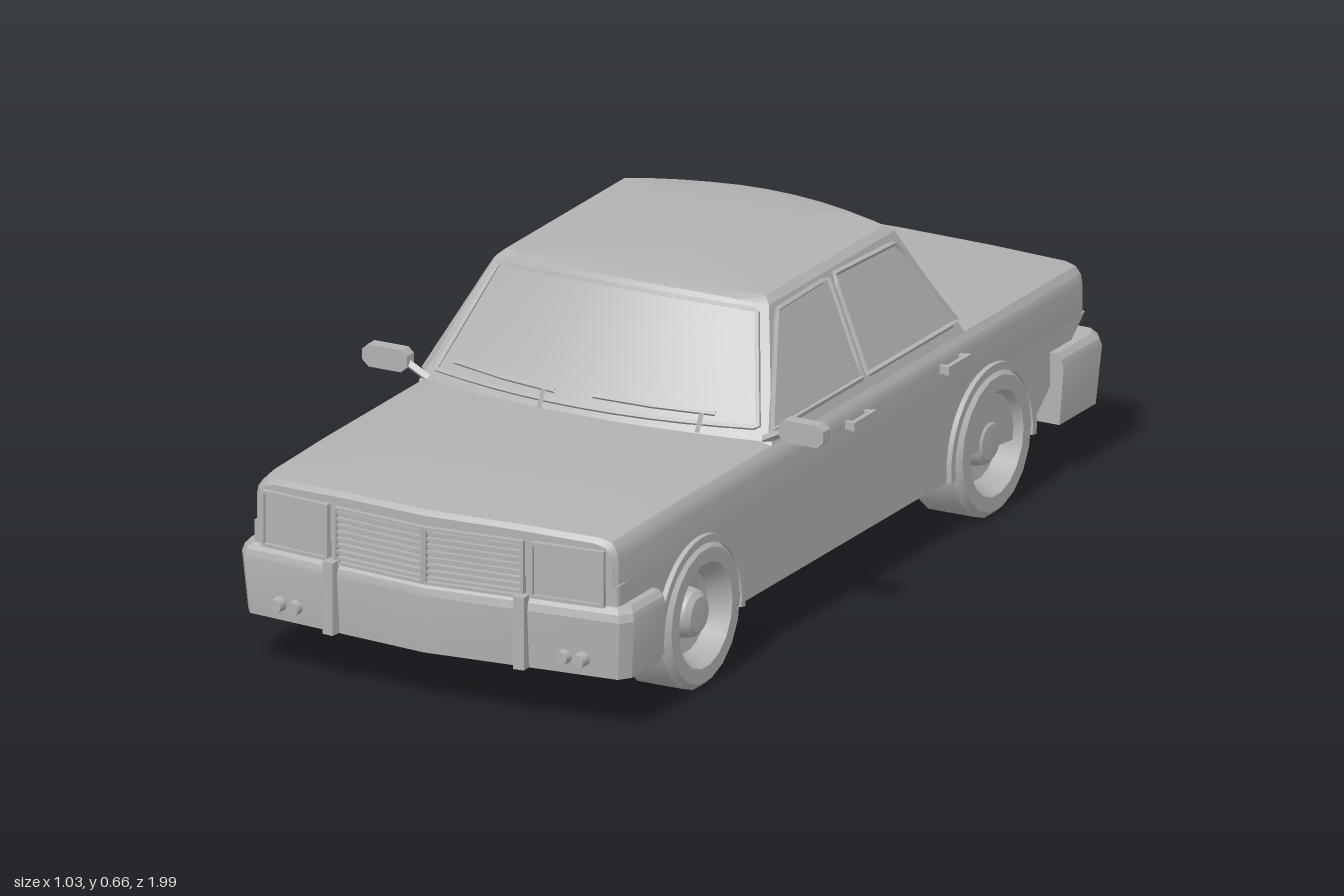
import * as THREE from 'three';
import { toCreasedNormals } from 'three/addons/utils/BufferGeometryUtils.js';

const { lerp, clamp } = THREE.MathUtils;
const V = (x, y, z) => new THREE.Vector3(x, y, z);

export function createModel() {
  const car = new THREE.Group();
  car.name = 'sedan';
  const grey = new THREE.MeshStandardMaterial({ color: 0xb2b2b2, side: THREE.DoubleSide });
  grey.name = 'grey';

  const add = (name, geo, x = 0, y = 0, z = 0, ry = 0) => {
    const mesh = new THREE.Mesh(geo, grey);
    mesh.name = name;
    mesh.position.set(x, y, z);
    mesh.rotation.y = ry;
    car.add(mesh);
    return mesh;
  };
  const box = (name, w, h, d, ...place) => add(name, new THREE.BoxGeometry(w, h, d), ...place);

  // Skin over closed rings of points, with a fan cap around a centre at each end
  const loft = (rings, first, last, crease = 0.5) => {
    const n = rings[0].length, pts = [...rings.flat(), first, last], index = [];
    const f = pts.length - 2, top = (rings.length - 1) * n;
    for (let i = 0; i < n; i++) {
      const j = (i + 1) % n;
      for (let k = 0; k < top; k += n) index.push(k + i, k + j, k + n + j, k + i, k + n + j, k + n + i);
      index.push(f, j, i, f + 1, top + i, top + j);
    }
    const geo = new THREE.BufferGeometry().setFromPoints(pts);
    geo.setIndex(index);
    return toCreasedNormals(geo, crease);
  };

  // Square strip along a chain of straight segments
  const strip = (name, pts, r, closed = false) => {
    const path = new THREE.CurvePath();
    const all = closed ? [...pts, pts[0]] : pts;
    for (let i = 1; i < all.length; i++) path.add(new THREE.LineCurve3(all[i - 1], all[i]));
    return add(name, toCreasedNormals(new THREE.TubeGeometry(path, all.length * 8, r, 4, false), 0.6));
  };

  // Side outline (z, y) extruded between x0 and x1 on either side
  const sidePlate = (name, shape, x0, x1, s) =>
    add(name, toCreasedNormals(new THREE.ExtrudeGeometry(shape, { depth: x1 - x0, bevelEnabled: false, curveSegments: 20 }), 0.5),
      s > 0 ? x1 : -x0, 0, 0, -Math.PI / 2);

  // ---- Body: rounded upper shell, notched lower sides, core and nose ----
  const bow = (x, z) => z + 0.04 * (1 - Math.abs(x) / 0.41) * clamp((z - 0.68) / 0.25, 0, 1);
  const noseZ = x => bow(x, 0.937);
  const section = (half, z, inset = 0, drop = 0) => {
    const right = half.map(([x, y]) => [x * (1 - inset / 0.4), y - (y > 0.33 ? drop : 0)]);
    const left = right.slice(1, -1).reverse().map(([x, y]) => [-x, y]);
    return [...right, ...left].map(([x, y]) => V(x, y, bow(x, z)));
  };
  const upper = [[0, 0.3], [0.408, 0.3], [0.408, 0.365], [0.404, 0.385], [0.393, 0.399], [0.37, 0.406], [0.2, 0.411], [0, 0.413]];
  const stations = [[-0.945, 0.012, 0.012], [-0.938, 0.004, 0.004], [-0.92, 0, 0], [0.68, 0, 0],
    [0.88, 0, 0.004], [0.928, 0.004, 0.008], [0.937, 0.012, 0.018]];
  add('upperBody', loft(stations.map(s => section(upper, ...s)), V(0, 0.35, -0.945), V(0, 0.35, noseZ(0))));

  const lower = w => [[0, 0.12], [w, 0.12], [w, 0.305], [0, 0.305]];
  add('lowerCore', loft([-0.94, 0.86].map(z => section(lower(0.3), z)), V(0, 0.2, -0.94), V(0, 0.2, bow(0, 0.86))));
  add('lowerNose', loft([0.85, 0.934].map(z => section(lower(0.405), z)), V(0, 0.2, bow(0, 0.85)), V(0, 0.2, bow(0, 0.934))));

  const axles = [-0.555, 0.615], dip = 0.129;
  const sill = new THREE.Shape();
  sill.moveTo(-0.94, 0.12);
  axles.forEach(z => sill.absarc(z, 0.14, 0.156, Math.PI + dip, -dip, true));
  sill.lineTo(0.93, 0.12).lineTo(0.93, 0.305).lineTo(-0.94, 0.305);

  // ---- Cabin: horizontal rings with bowed front and rear edges ----
  const cabinRing = (w, y, crown, zf, bf, zb, bb) => {
    const ring = [];
    for (const s of [1, -1]) for (let i = 0; i <= 10; i++) {
      const u = s * (i / 5 - 1);
      ring.push(V(w * u, y + crown * (1 - u * u), s > 0 ? zf - bf * u * u : zb + bb * u * u));
    }
    return ring;
  };
  add('cabin', loft([
    cabinRing(0.395, 0.4, 0, 0.36, 0.065, -0.525, 0.045),
    cabinRing(0.305, 0.63, 0.022, 0.2, 0.055, -0.4, 0.04),
    cabinRing(0.29, 0.643, 0.015, 0.18, 0.05, -0.38, 0.035),
    cabinRing(0.18, 0.655, 0.006, 0.08, 0.02, -0.27, 0.02),
  ], V(0, 0.4, -0.1), V(0, 0.663, -0.1), 0.42));

  // Points on the windscreen (dir 1) or rear window (dir -1), lifted slightly
  const screen = (x, y, dir, lift) => {
    const k = clamp(x / 0.32, -1, 1);
    const v = (y - 0.4) / (0.23 + 0.022 * (1 - k * k));
    const u2 = (x / lerp(0.395, 0.305, v)) ** 2;
    const z = dir > 0 ? lerp(0.36 - 0.065 * u2, 0.2 - 0.055 * u2, v) : lerp(-0.525 + 0.045 * u2, -0.4 + 0.04 * u2, v);
    return V(x, y, z + dir * lift);
  };
  const pane = (u, t, dir, lift) => screen(u * lerp(0.36, 0.288, t), lerp(0.428, 0.622 + 0.017 * (1 - u * u), t), dir, lift);
  for (const [dir, name] of [[1, 'windscreen'], [-1, 'rearWindow']]) {
    const glass = new THREE.PlaneGeometry(2, 2, 10, 4), p = glass.attributes.position;
    for (let i = 0; i < p.count; i++) {
      const q = pane(p.getX(i) * dir, (p.getY(i) + 1) / 2, dir, 0.003);
      p.setXYZ(i, q.x, q.y, q.z);
    }
    glass.computeVertexNormals();
    add(name, glass);
    const edge = [];
    for (let i = 0; i <= 10; i++) edge.push(pane(i / 5 - 1, 0, dir, 0.002));
    for (let i = 10; i >= 0; i--) edge.push(pane(i / 5 - 1, 1, dir, 0.002));
    strip(name + 'Trim', edge, 0.006, true);
  }

  // Wipers
  for (const [a, b, pivot] of [[-0.315, -0.065, -0.09], [0.02, 0.275, 0.25]]) {
    strip('wiperBlade', [screen(a, 0.453, 1, 0.014), screen((a + b) / 2, 0.451, 1, 0.014), screen(b, 0.449, 1, 0.014)], 0.005);
    strip('wiperArm', [screen(pivot, 0.415, 1, 0.012), screen(pivot, 0.449, 1, 0.016)], 0.005);
  }

  // ---- Bumpers ----
  const bumper = (name, peak, corner, dir) => {
    const ring = (y, i) => [[-0.438, 0.8], [-0.438, corner - 0.025], [-0.42, corner], [0, peak],
      [0.42, corner], [0.438, corner - 0.025], [0.438, 0.8]]
      .map(([x, z]) => V(x * (1 - i / 0.43), y, z > 0.8 ? z - i : z));
    add(name, loft([ring(0.115, 0.009), ring(0.235, 0), ring(0.25, 0.004), ring(0.262, 0.014)],
      V(0, 0.115, 0.88), V(0, 0.262, 0.88), 0.35), 0, 0, 0, dir > 0 ? 0 : Math.PI);
  };
  bumper('frontBumper', 0.993, 0.952, 1);
  bumper('rearBumper', 0.985, 0.98, -1);

  // ---- Grille, lamps and other paired parts ----
  const tilt = 0.097;
  const frame = (w, h, t) => {
    const outline = (a, b, Kind) => new Kind().moveTo(-a, -b).lineTo(a, -b).lineTo(a, b).lineTo(-a, b);
    const shape = outline(w / 2, h / 2, THREE.Shape);
    shape.holes.push(outline(w / 2 - t, h / 2 - t, THREE.Path));
    return new THREE.ExtrudeGeometry(shape, { depth: 0.014, bevelEnabled: false });
  };

  // Wheel profile (radius, distance from the inner face)
  const profile = [[0, 0], [0.137, 0], [0.151, 0.014], [0.151, 0.111], [0.138, 0.125], [0.108, 0.125], [0.103, 0.117],
    [0.083, 0.082], [0.052, 0.078], [0.047, 0.102], [0.036, 0.112], [0, 0.114]].map(p => new THREE.Vector2(...p));
  const wheel = toCreasedNormals(new THREE.LatheGeometry(profile, 18), 0.45);

  const sideX = y => lerp(0.395, 0.305, (y - 0.4) / 0.23);
  const sideWindows = {
    frontSideWindow: [[0.285, 0.425], [0.13, 0.617], [-0.08, 0.62], [-0.08, 0.425]],
    rearSideWindow: [[-0.1, 0.425], [-0.1, 0.62], [-0.345, 0.612], [-0.465, 0.425]],
  };

  for (const s of [1, -1]) {
    sidePlate('lowerSide', sill, 0.29, 0.408, s);

    // Wheels and arches
    for (const z of axles) {
      add('wheel', wheel, s * 0.3, 0.151, z).rotation.z = -s * Math.PI / 2;
      const arch = new THREE.Shape();
      arch.absarc(z, 0.14, 0.172, -dip, Math.PI + dip, false);
      arch.absarc(z, 0.14, 0.156, Math.PI + dip, -dip, true);
      sidePlate('wheelArch', arch, 0.39, 0.419, s);
    }

    // Side windows with trim
    for (const [name, outline] of Object.entries(sideWindows)) {
      const pts = outline.map(([z, y]) => V(s * (sideX(y) + 0.003), y, z));
      const glass = new THREE.BufferGeometry().setFromPoints(pts);
      glass.setIndex(s > 0 ? [0, 2, 1, 0, 3, 2] : [0, 1, 2, 0, 2, 3]);
      glass.computeVertexNormals();
      add(name, glass);
      strip(name + 'Trim', pts, 0.006, true);
    }

    // Door handles
    for (const z of [-0.02, -0.4]) {
      box('doorHandle', 0.01, 0.018, 0.09, s * 0.424, 0.361, z);
      for (const e of [-0.038, 0.038]) box('handleMount', 0.024, 0.016, 0.012, s * 0.412, 0.361, z + e);
    }

    // Door mirror with clipped corners
    const m = new THREE.Shape();
    m.moveTo(-0.036, -0.023).lineTo(0.036, -0.023).lineTo(0.05, -0.01).lineTo(0.05, 0.012)
      .lineTo(0.038, 0.023).lineTo(-0.038, 0.023).lineTo(-0.05, 0.012).lineTo(-0.05, -0.01);
    add('mirror', new THREE.ExtrudeGeometry(m, { depth: 0.028, bevelEnabled: false }), s * 0.465, 0.438, 0.277);
    strip('mirrorStalk', [V(s * 0.375, 0.408, 0.291), V(s * 0.425, 0.434, 0.291)], 0.009);

    // Headlamps
    add('headlampFrame', frame(0.158, 0.116, 0.007), s * 0.303, 0.318, noseZ(0.303) - 0.003, s * tilt);
    box('headlamp', 0.142, 0.1, 0.012, s * 0.303, 0.318, noseZ(0.303), s * tilt);

    // Grille half
    const gz = noseZ(0.105);
    add('grilleFrame', frame(0.213, 0.118, 0.006), s * 0.105, 0.316, gz - 0.003, s * tilt);
    for (let i = 0; i < 8; i++) box('grilleSlat', 0.21, 0.006, 0.016, s * 0.105, 0.269 + i * 0.0135, gz, s * tilt);

    // Bumper guards and fog lamps
    box('frontBumperGuard', 0.024, 0.15, 0.03, s * 0.212, 0.191, 0.972, s * tilt);
    box('rearBumperGuard', 0.024, 0.15, 0.03, s * 0.25, 0.191, -0.985);
    for (const x of [0.3, 0.338]) {
      const lamp = add('fogLamp', new THREE.CylinderGeometry(0.013, 0.016, 0.024, 14), s * x, 0.15, 0.962);
      lamp.rotation.x = Math.PI / 2;
    }

    // Tail lamps
    box('tailLamp', 0.115, 0.08, 0.022, s * 0.318, 0.335, -0.95);
    add('tailLampFrame', frame(0.127, 0.092, 0.007), s * 0.318, 0.335, -0.942, Math.PI);
  }
  return car;
}
